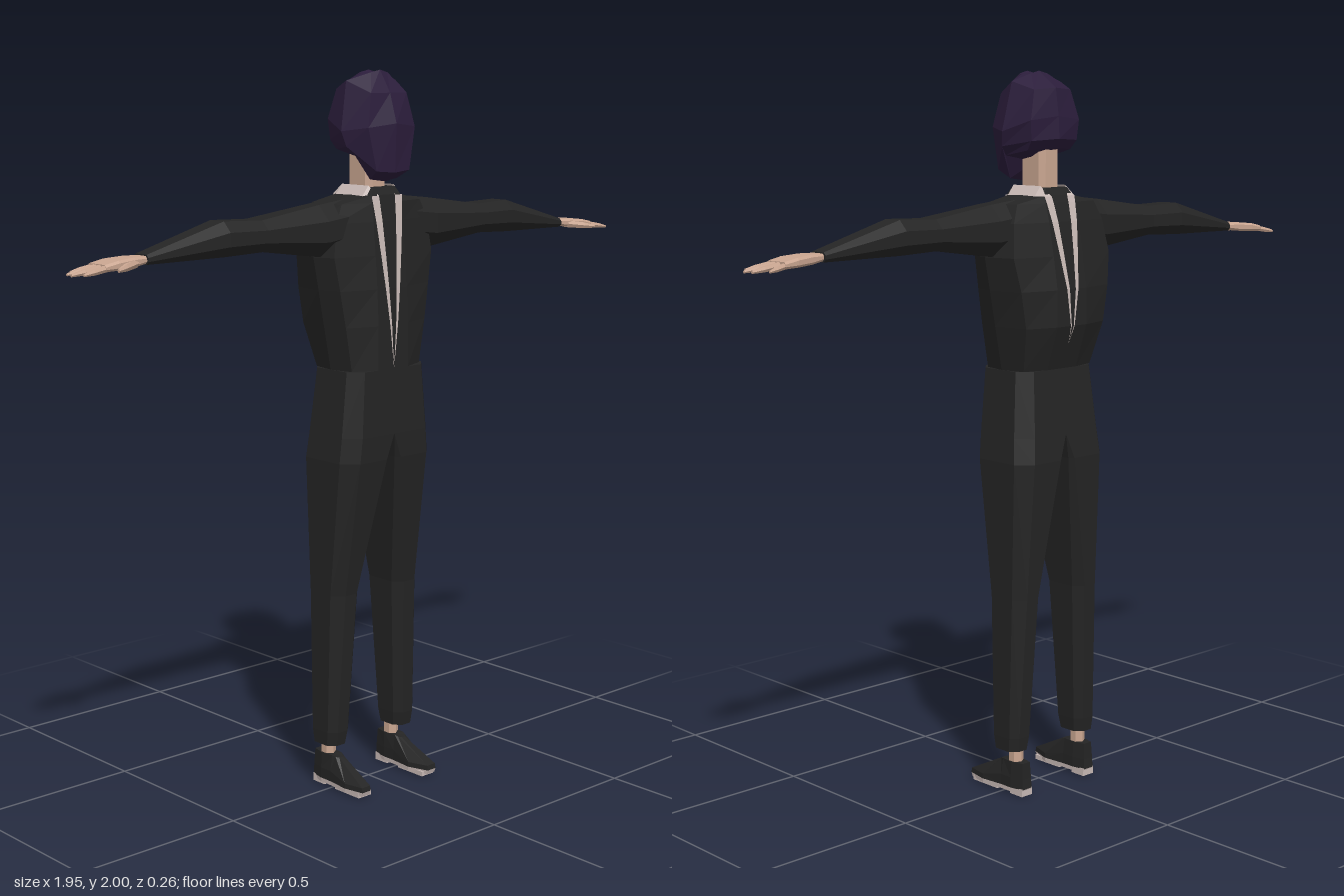
import * as THREE from 'three';

const mat = (color, side = THREE.FrontSide) => new THREE.MeshStandardMaterial({ color, side, flatShading: true });

// Skin a list of rings (each a list of [x, y, z]) and cap both ends; faces always point outward.
function loft(rings, side = 1) {
  const R = rings.map(r => r.map(p => new THREE.Vector3(p[0] * side, p[1], p[2])));
  const tris = [], n = R[0].length;
  for (let i = 0; i < R.length - 1; i++) for (let j = 0; j < n; j++) {
    const k = (j + 1) % n;
    tris.push([R[i][j], R[i][k], R[i + 1][k]], [R[i][j], R[i + 1][k], R[i + 1][j]]);
  }
  for (const [ring, flip] of [[R[0], true], [R[R.length - 1], false]]) {
    const c = ring.reduce((a, p) => a.add(p), new THREE.Vector3()).divideScalar(n);
    for (let j = 0; j < n; j++) {
      const a = ring[j], b = ring[(j + 1) % n];
      tris.push(flip ? [c, b, a] : [c, a, b]);
    }
  }
  const volume = tris.reduce((v, [a, b, c]) => v + a.dot(b.clone().cross(c)), 0);
  const pts = tris.flatMap(([a, b, c]) => (volume < 0 ? [a, c, b] : [a, b, c]));
  const g = new THREE.BufferGeometry().setFromPoints(pts);
  g.computeVertexNormals();
  return g;
}

// Open strip between two edges
function ribbon(a, b, side) {
  const pts = [];
  for (let i = 0; i < a.length - 1; i++) pts.push(a[i], b[i], b[i + 1], a[i], b[i + 1], a[i + 1]);
  const g = new THREE.BufferGeometry().setFromPoints(pts.map(p => new THREE.Vector3(p[0] * side, p[1], p[2])));
  g.computeVertexNormals();
  return g;
}

// Complete a half ring (front centre to back centre) by mirroring it
const mirrored = h => [...h, ...h.slice(1, -1).reverse().map(([x, y, z]) => [-x, y, z])];

// Rectangle with cut corners: outer cut c, inner cut ci, as [u, v] pairs
const cutBox = (u0, u1, v0, v1, c, ci = c) => [
  [u0, v0 + ci], [u0, v1 - ci], [u0 + ci, v1], [u1 - c, v1],
  [u1, v1 - c], [u1, v0 + c], [u1 - c, v0], [u0 + ci, v0]];

export function createModel() {
  const model = new THREE.Group();
  const black = mat(0x242424), hair = mat(0x2b1d3b), skin = mat(0xc9a590);
  const pale = mat(0xc9bab6), trimMat = mat(0xc9bab6, THREE.DoubleSide);
  const add = (name, geo, m, parent = model) => {
    const mesh = new THREE.Mesh(geo, m);
    mesh.name = name;
    parent.add(mesh);
    return mesh;
  };

  // Torso rows: y, half width, front z, back z
  const rows = [
    [1.2, .14, .1, -.09], [1.32, .163, .1, -.13], [1.42, .182, .095, -.13], [1.51, .2, .088, -.115],
    [1.6, .185, .08, -.098], [1.65, .16, .073, -.084], [1.67, .065, .07, -.077], [1.69, .05, .062, -.068]];
  add('jacket', loft(rows.map(([y, w, f, b]) => {
    const m = Math.min(.055, w * .8);
    return mirrored([[0, y, f], [m, y, f], [w * .9, y, f * .7], [w, y, 0], [w * .9, y, b * .8], [m, y, b], [0, y, b]]);
  })), black);

  // Neck
  add('neck', loft([1.66, 1.83].map(y =>
    cutBox(-.036, .036, -.05, .04, .014).map(([x, z]) => [x, y, z]))), skin);

  // Faceted hair covering the whole head, as half rings from chin to crown
  add('hair', loft([
    [[0, 1.705, .065], [.05, 1.712, .06], [.085, 1.775, .04], [.08, 1.79, -.04], [0, 1.795, -.06]],
    [[0, 1.73, .105], [.06, 1.735, .097], [.108, 1.80, .03], [.085, 1.815, -.06], [0, 1.82, -.08]],
    [[0, 1.86, .11], [.085, 1.85, .092], [.117, 1.84, .02], [.09, 1.87, -.064], [0, 1.88, -.077]],
    [[0, 1.94, .085], [.065, 1.94, .08], [.09, 1.972, .01], [.068, 1.95, -.053], [0, 1.955, -.066]],
    [[0, 2, .045], [.03, 1.993, .042], [.045, 1.99, .02], [.03, 1.993, -.002], [0, 2, 0]],
  ].map(mirrored)), hair);

  // Row heights and surface z for the trim running down the torso
  const surfaceZ = (y, k) => {
    const i = Math.max(1, rows.findIndex(r => r[0] >= y)), a = rows[i - 1], b = rows[i];
    return THREE.MathUtils.lerp(a[k], b[k], (y - a[0]) / (b[0] - a[0]));
  };

  for (const side of [1, -1]) {
    const label = side > 0 ? 'left' : 'right';

    // Trim: up the front V, around the collar, down the back V
    const inner = [], outer = [];
    const strip = (ys, y0, k, off) => ys.forEach(y => {
      const x = .056 * (y - y0) / (1.668 - y0), z = surfaceZ(y, k) + off;
      outer.push([x, y, z]);
      inner.push([x * .52, y, z]);
    });
    strip([1.2, 1.32, 1.42, 1.51, 1.6, 1.65, 1.668], 1.2, 2, .003);
    for (const z of [.05, -.055]) {
      outer.push([.069, 1.667, z]);
      inner.push([.047, 1.695, z]);
    }
    strip([1.668, 1.65, 1.6, 1.51, 1.42, 1.32, 1.27], 1.27, 3, -.003);
    add(label + 'CollarTrim', ribbon(inner, outer, side), trimMat);

    // Sleeve stations: x, bottom y, top y, back z, front z
    add(label + 'Sleeve', loft([
      [.06, 1.53, 1.666, -.07, .06], [.2, 1.512, 1.65, -.067, .065], [.4, 1.54, 1.622, -.06, .055],
      [.52, 1.535, 1.626, -.06, .05], [.76, 1.533, 1.558, -.035, .025],
    ].map(([x, y0, y1, b, f]) => cutBox(b, f, y0, y1, (y1 - y0) * .3).map(([z, y]) => [x, y, z]))), black)
      .geometry.scale(side, 1, 1);
    if (side < 0) model.children.at(-1).geometry = loft([
      [.06, 1.53, 1.666, -.07, .06], [.2, 1.512, 1.65, -.067, .065], [.4, 1.54, 1.622, -.06, .055],
      [.52, 1.535, 1.626, -.06, .05], [.76, 1.533, 1.558, -.035, .025],
    ].map(([x, y0, y1, b, f]) => cutBox(b, f, y0, y1, (y1 - y0) * .3).map(([z, y]) => [x, y, z])), -1);

    // Hand: palm, four fingers and a thumb
    const hand = new THREE.Group();
    hand.name = label + 'Hand';
    model.add(hand);
    add('palm', loft([
      [.75, 1.537, 1.555, -.027, .018], [.8, 1.53, 1.555, -.037, .028], [.85, 1.527, 1.551, -.047, .033],
      [.89, 1.525, 1.543, -.047, .03],
    ].map(([x, y0, y1, b, f]) => cutBox(b, f, y0, y1, .006).map(([z, y]) => [x, y, z])), side), skin, hand);
    const finger = (name, a, b, r) => add(name, loft([[0, 1], [.6, .85], [1, .4]].map(([t, s]) => {
      const p = a.map((v, i) => THREE.MathUtils.lerp(v, b[i], t));
      return [0, 1, 2, 3, 4, 5].map(k => [
        p[0], p[1] + Math.sin(k * Math.PI / 3) * r * s, p[2] + Math.cos(k * Math.PI / 3) * r * s]);
    }), side), skin, hand);
    finger('indexFinger', [.88, 1.534, .02], [.955, 1.523, .03], .0095);
    finger('middleFinger', [.88, 1.535, .001], [.975, 1.522, .006], .0095);
    finger('ringFinger', [.88, 1.535, -.018], [.97, 1.522, -.02], .0095);
    finger('littleFinger', [.88, 1.534, -.037], [.94, 1.523, -.05], .0085);
    finger('thumb', [.79, 1.54, .016], [.872, 1.53, .056], .012);

    // Trouser leg rows: y, inner x, outer x, back z, front z, outer cut, inner cut
    add(label + 'TrouserLeg', loft([
      [1.2, 0, .14, -.09, .1, .035, 0], [1.02, 0, .158, -.108, .105, .04, 0],
      [.95, .014, .165, -.115, .103, .04, .012], [.57, .066, .162, -.092, .05, .03, .025],
      [.17, .088, .165, -.073, .03, .02, .02], [.13, .093, .163, -.068, .024, .02, .02],
    ].map(([y, x0, x1, b, f, c, ci]) => cutBox(x0, x1, b, f, c, ci).map(([x, z]) => [x, y, z])), side), black);

    // Ankle
    add(label + 'Ankle', new THREE.CylinderGeometry(.021, .021, .08, 6), skin).position.set(side * .122, .115, -.035);

    // Shoe: upper, pale sole rim, dark tread and heel
    const shoe = new THREE.Group();
    shoe.name = label + 'Shoe';
    model.add(shoe);
    const sole = (y, s) => [[.105, -.08], [.139, -.08], [.148, -.04], [.148, 0], [.155, .07], [.143, .13],
      [.112, .13], [.092, .07], [.098, 0], [.098, -.04]]
      .map(([x, z]) => [.122 + (x - .122) * s, y, .025 + (z - .025) * s]);
    const top = [[.108, -.076], [.136, -.076], [.144, -.04], [.14, 0], [.136, .01], [.128, .018],
      [.116, .018], [.108, .01], [.104, 0], [.1, -.04]].map(([x, z]) => [x, .095 - Math.max(0, z) * .3, z]);
    const mid = sole(.04, .98).map(([x, y, z]) => [x, z > .06 ? .034 : .05, z]);
    add('upper', loft([sole(.02, 1), mid, top], 1), black, shoe);
    add('rim', loft([sole(.008, .96), sole(.02, 1)]), pale, shoe);
    add('soleEdge', new THREE.BoxGeometry(.046, .014, .1), pale, shoe).position.set(.123, .009, .068);
    add('tread', new THREE.BoxGeometry(.032, .004, .08), black, shoe).position.set(.123, .002, .068);
    add('heel', new THREE.BoxGeometry(.04, .022, .048), pale, shoe).position.set(.122, .011, -.055);
    shoe.scale.x = side;
  }
  return model;
}
